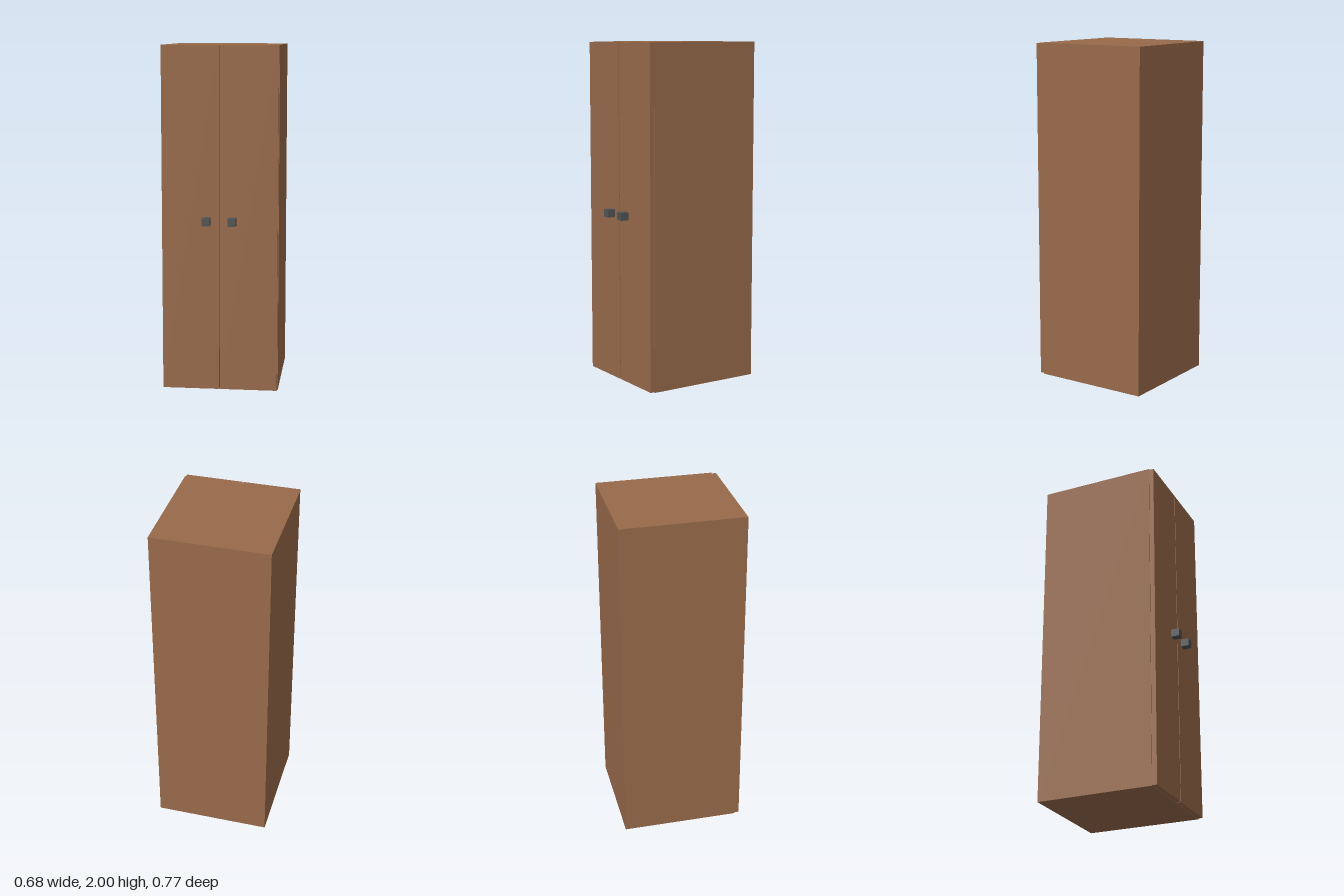
import * as THREE from 'three';

export function createModel() {
  const wood = new THREE.MeshStandardMaterial({ color: 0x986a4a });
  wood.name = 'brown wood';
  const metal = new THREE.MeshStandardMaterial({ color: 0x525555 });
  metal.name = 'dark grey metal';

  const model = new THREE.Group();
  model.name = 'wardrobe';

  const addBox = (name, material, size, position) => {
    const mesh = new THREE.Mesh(new THREE.BoxGeometry(...size), material);
    mesh.name = name;
    mesh.position.set(...position);
    model.add(mesh);
  };

  // Cabinet carcass
  addBox('cabinetBody', wood, [0.676, 2, 0.691], [0, 1, -0.0385]);

  // Mirrored doors, slightly inset from the body edges, with knobs
  for (const [side, s] of [['left', 1], ['right', -1]]) {
    addBox(side + 'Door', wood, [0.331, 1.993, 0.028], [s * 0.1685, 1, 0.321]);
    addBox(side + 'Knob', metal, [0.046, 0.046, 0.049], [s * 0.0745, 1, 0.3595]);
  }
  return model;
}
